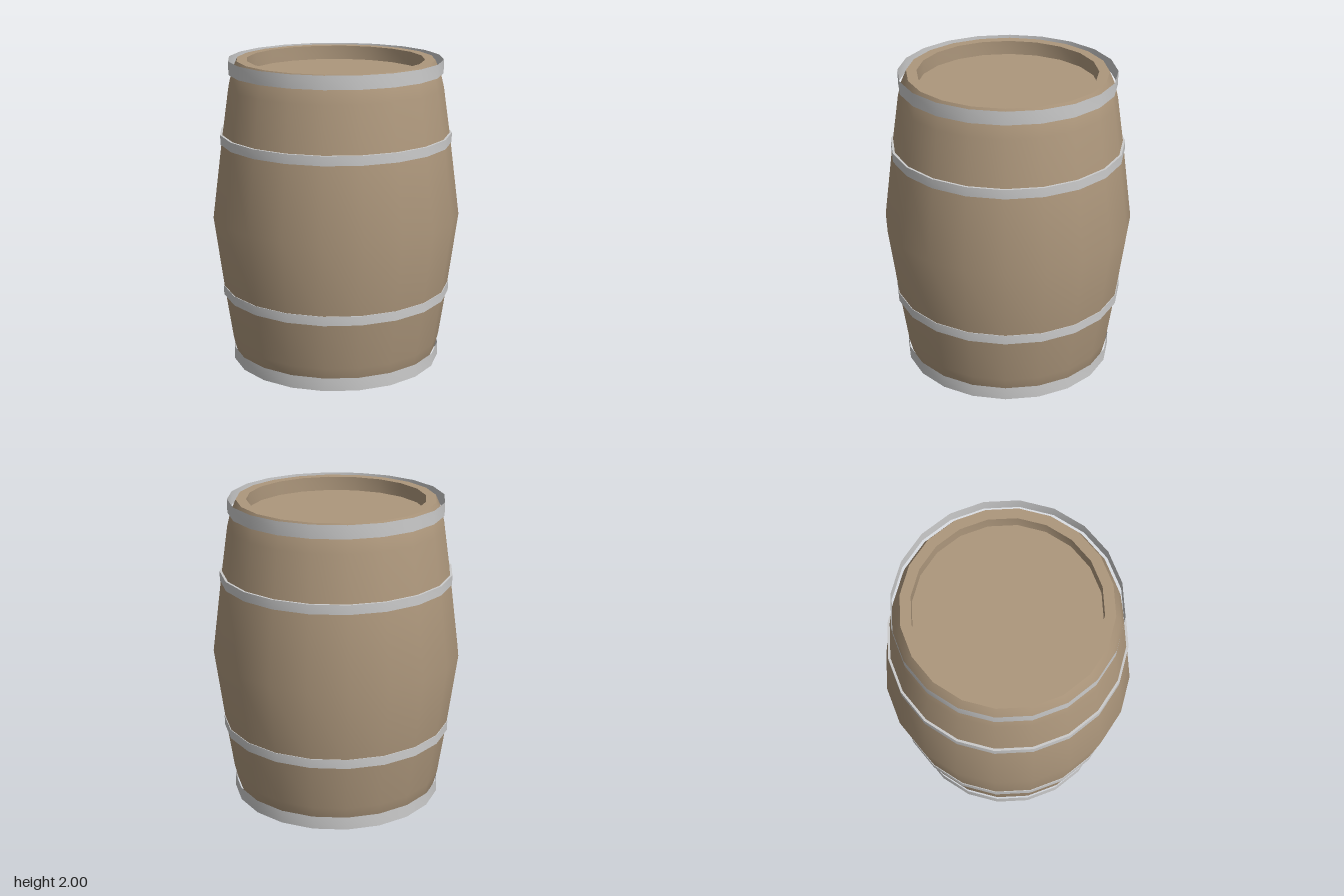
import * as THREE from 'three';
import { toCreasedNormals } from 'three/addons/utils/BufferGeometryUtils.js';

const SIDES = 20;
const wood = new THREE.MeshStandardMaterial({ color: 0xad977c });
const metal = new THREE.MeshStandardMaterial({ color: 0xcccccc, side: THREE.DoubleSide });

// Turned part: smooth around the barrel, sharp at rims
function turned(name, profile, material) {
  const points = profile.map(([r, y]) => new THREE.Vector2(r, y));
  const mesh = new THREE.Mesh(toCreasedNormals(new THREE.LatheGeometry(points, SIDES), 0.6), material);
  mesh.name = name;
  return mesh;
}

export function createModel() {
  const barrel = new THREE.Group();
  barrel.name = 'barrel';

  // Staves and recessed heads: lower half, mirrored for the upper half
  const lower = [
    [0, 0.09], [0.565, 0.09], [0.565, 0], [0.63, 0],
    [0.665, 0.08], [0.687, 0.17], [0.735, 0.5],
  ];
  const upper = lower.map(([r, y]) => [r, 1.997 - y]).reverse();
  barrel.add(turned('body', [...lower, [0.8, 1], ...upper], wood));

  // Thin open hoops standing clear of the rims
  for (const [name, y] of [['bottomHoop', 0.02], ['topHoop', 1.915]]) {
    barrel.add(turned(name, [[0.683, y], [0.683, y + 0.085]], metal));
  }

  // Solid hoops around the belly
  for (const [name, y] of [['lowerHoop', 0.475], ['upperHoop', 1.475]]) {
    const top = y + 0.06;
    barrel.add(turned(name, [[0.715, y], [0.744, y], [0.744, top], [0.715, top], [0.715, y]], metal));
  }

  return barrel;
}
